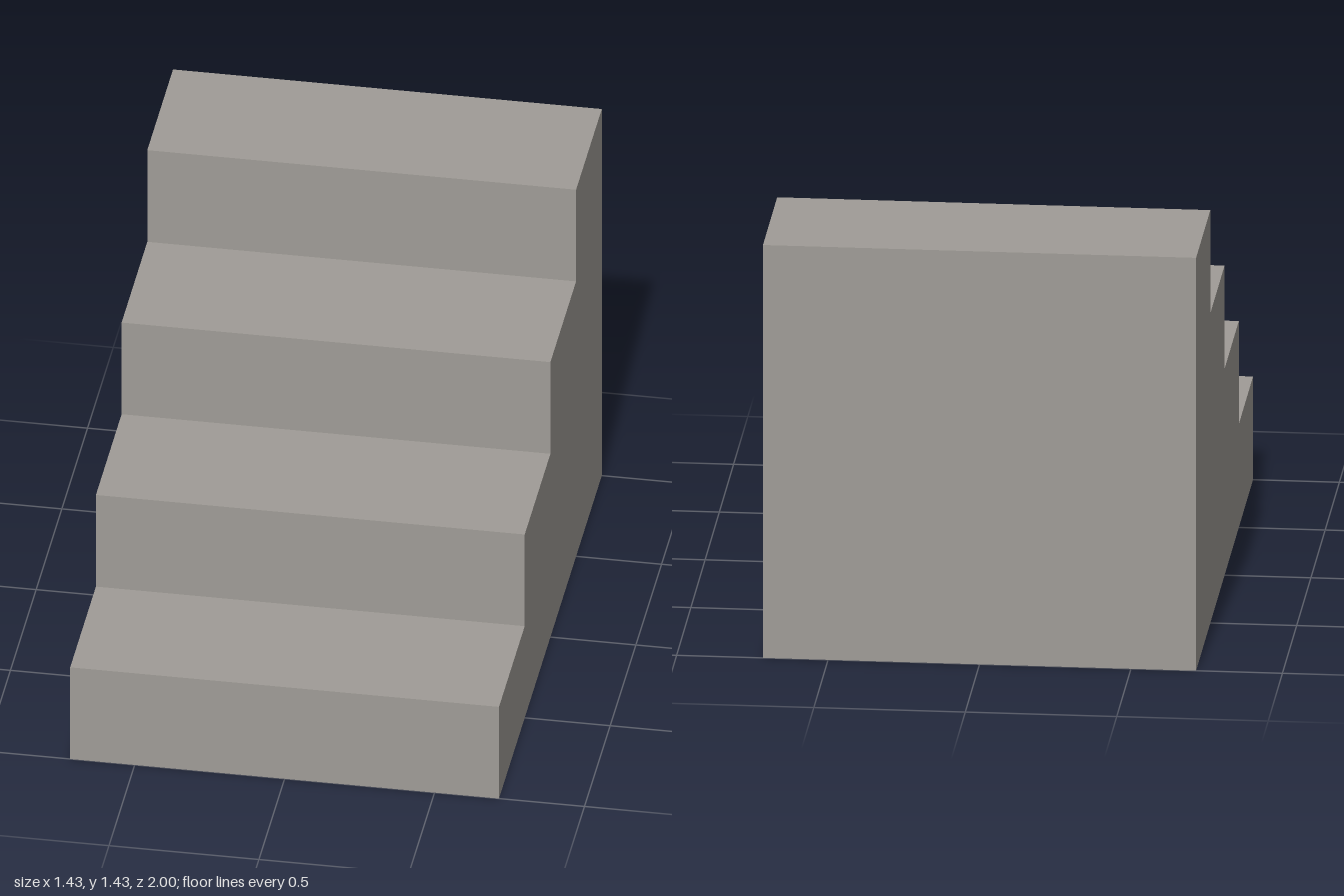
import * as THREE from 'three';

const STEPS = 4;
const WIDTH = 1.43;
const RISE = 1.43 / STEPS;
const TREAD = 2 / STEPS;

export function createModel() {
  const group = new THREE.Group();
  group.name = 'staircase';

  const stone = new THREE.MeshStandardMaterial({ color: 0xa09c97 });
  stone.name = 'warm grey stone';

  // Side profile: shape x runs along the depth, lowest step at the front
  const profile = new THREE.Shape();
  profile.moveTo(-1, 0);
  profile.lineTo(1, 0);
  for (let i = 0; i < STEPS; i++) {
    const y = (i + 1) * RISE;
    profile.lineTo(1 - i * TREAD, y);
    profile.lineTo(1 - (i + 1) * TREAD, y);
  }
  profile.closePath();

  // Solid flight of steps, extruded across the width
  const geometry = new THREE.ExtrudeGeometry(profile, { depth: WIDTH, bevelEnabled: false });
  geometry.translate(0, 0, -WIDTH / 2);
  geometry.rotateY(-Math.PI / 2);

  const steps = new THREE.Mesh(geometry, stone);
  steps.name = 'steps';
  group.add(steps);
  return group;
}
